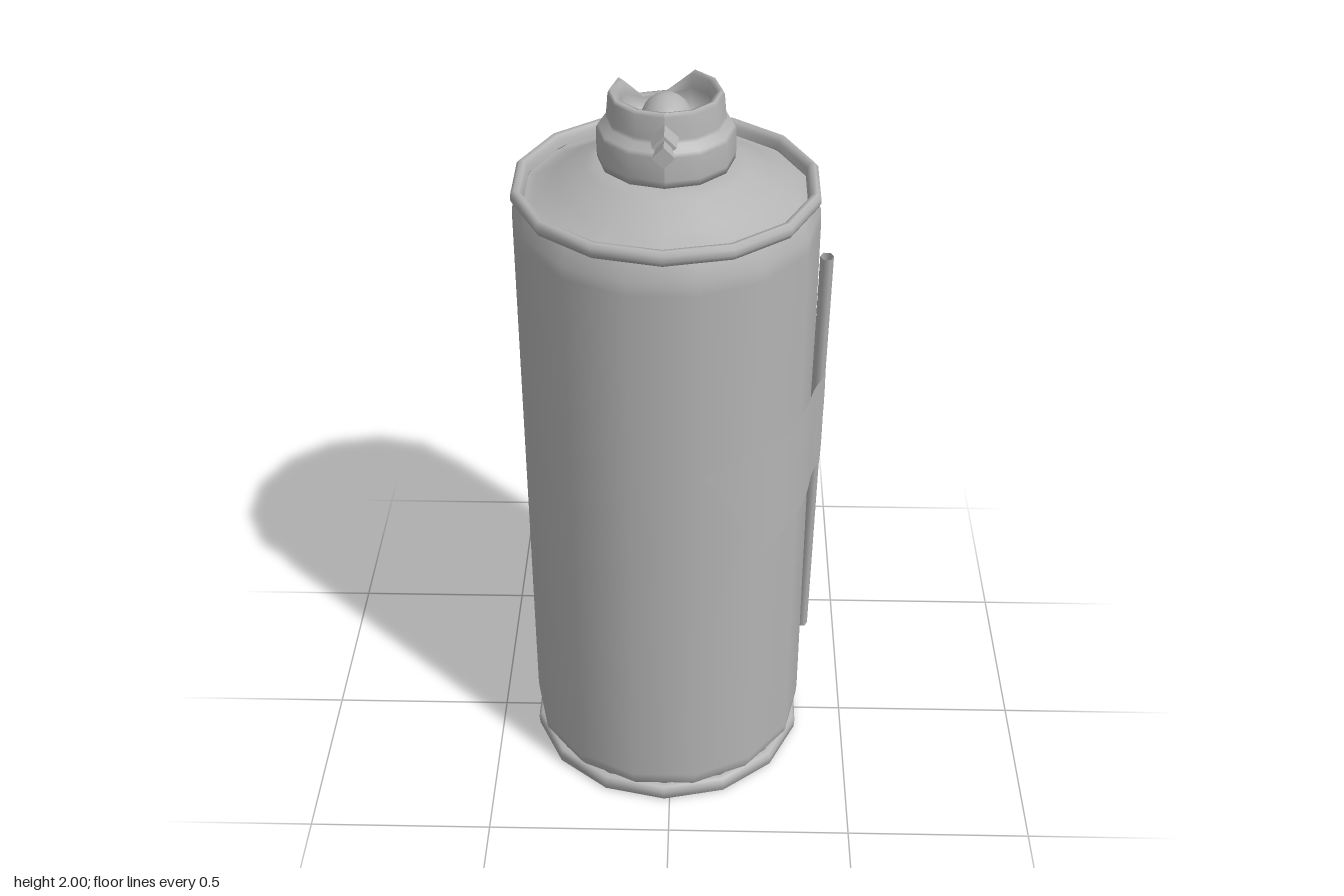
import * as THREE from 'three';

const grey = new THREE.MeshStandardMaterial({ color: 0xb4b4b4, side: THREE.DoubleSide });
grey.name = 'plain grey';

const AXIS_X = -0.015;
const STRAW_TOP = new THREE.Vector3(0.383, 1.6, 0.088);
const STRAW_END = new THREE.Vector3(0.383, 0.23, -0.125);

function add(group, name, geometry) {
  const mesh = new THREE.Mesh(geometry, grey);
  mesh.name = name;
  group.add(mesh);
  return mesh;
}

// Turned part from [radius, height] pairs; phi shifts the facets
function turned(points, sides, phi = 0) {
  return new THREE.LatheGeometry(points.map(([r, y]) => new THREE.Vector2(r, y)), sides, phi);
}

// Cap with a finger notch cut into the back of its wall
function capGeometry() {
  const geo = turned([
    [0.13, 1.82], [0.168, 1.822], [0.17, 1.84], [0.17, 1.9], [0.165, 1.91], [0.147, 1.925],
    [0.145, 1.935], [0.14, 1.99], [0.135, 2.0], [0.12, 1.995], [0.118, 1.96], [0.118, 1.9], [0.0, 1.885],
  ], 12);
  const p = geo.attributes.position;
  for (let i = 0; i < p.count; i++) {
    const y = p.getY(i);
    const angle = Math.atan2(p.getX(i), -p.getZ(i)); // 0 at the back
    const off = Math.abs(angle + 0.26);
    if (y > 1.932 && off < 0.65) p.setY(i, 1.93 + (y - 1.93) * (off < 0.4 ? 0.1 : 0.65));
  }
  geo.computeVertexNormals();
  return geo;
}

// Tape strip wrapped round the can and lifted over the straw
function tapeGeometry() {
  const cols = 48, rows = 6;
  const geo = new THREE.PlaneGeometry(1, 1, cols, rows);
  const p = geo.attributes.position;
  const mix = THREE.MathUtils.lerp;
  for (let i = 0; i < p.count; i++) {
    const u = p.getX(i) + 0.5, v = p.getY(i) + 0.5;
    const z = mix(mix(0.31, -0.35, u), mix(0.38, -0.28, u), v);
    const y = mix(mix(0.84, 0.99, u), mix(1.135, 1.295, u), v);
    const t = (y - STRAW_END.y) / (STRAW_TOP.y - STRAW_END.y);
    const d = z - mix(STRAW_END.z, STRAW_TOP.z, t);
    const x = Math.sqrt(0.392 ** 2 - z * z) + 0.025 * Math.exp(-((d / 0.04) ** 2));
    p.setXYZ(i, AXIS_X + x, y, z);
  }
  geo.computeVertexNormals();
  return geo;
}

export function createModel() {
  const model = new THREE.Group();
  model.name = 'sprayCan';

  // Turned parts share the can's axis
  const can = new THREE.Group();
  can.name = 'can';
  can.position.x = AXIS_X;
  model.add(can);

  add(can, 'body', turned([
    [0.365, 0.03], [0.37, 0.045], [0.383, 0.065], [0.385, 0.09], [0.385, 0.9],
    [0.385, 1.65], [0.383, 1.685], [0.368, 1.725], [0.36, 1.74],
  ], 14, Math.PI / 14));
  add(can, 'bottomRim', turned([
    [0.355, 0.03], [0.36, 0.005], [0.372, 0], [0.386, 0.005], [0.388, 0.03], [0.38, 0.043], [0.365, 0.045],
  ], 14));
  add(can, 'concaveBase', turned([
    [0, 0.12], [0.15, 0.105], [0.28, 0.07], [0.345, 0.035], [0.358, 0.01],
  ], 14));
  add(can, 'topRim', turned([
    [0.36, 1.73], [0.38, 1.732], [0.387, 1.745], [0.386, 1.76], [0.377, 1.77], [0.365, 1.768], [0.358, 1.755], [0.355, 1.735],
  ], 14));
  add(can, 'shoulderDome', turned([
    [0.36, 1.735], [0.335, 1.735], [0.275, 1.768], [0.2, 1.808], [0.16, 1.822], [0, 1.83],
  ], 14));
  add(can, 'cap', capGeometry());

  // Finger button inside the cap
  const button = add(can, 'button', new THREE.SphereGeometry(1, 14, 10, 0, Math.PI * 2, 0, Math.PI / 2));
  button.scale.set(0.07, 0.085, 0.092);
  button.position.set(0, 1.89, -0.025);

  // Four-sided spout with a flared tip
  const spout = new THREE.Group();
  spout.name = 'spout';
  spout.position.set(0, 1.94, 0);
  can.add(spout);
  const parts = [['spoutBase', 0.029, 0.034, 0.13, 0.192], ['spoutTip', 0.027, 0.018, 0.19, 0.247]];
  for (const [name, front, back, z0, z1] of parts) {
    const geo = new THREE.CylinderGeometry(front, back, z1 - z0, 4).toNonIndexed();
    geo.computeVertexNormals();
    geo.rotateX(Math.PI / 2);
    geo.translate(0, 0, (z0 + z1) / 2);
    add(spout, name, geo);
  }

  // Straw taped to the side
  const path = new THREE.LineCurve3(STRAW_END, STRAW_TOP);
  add(model, 'straw', new THREE.TubeGeometry(path, 1, 0.017, 6));
  add(model, 'tape', tapeGeometry());

  return model;
}
